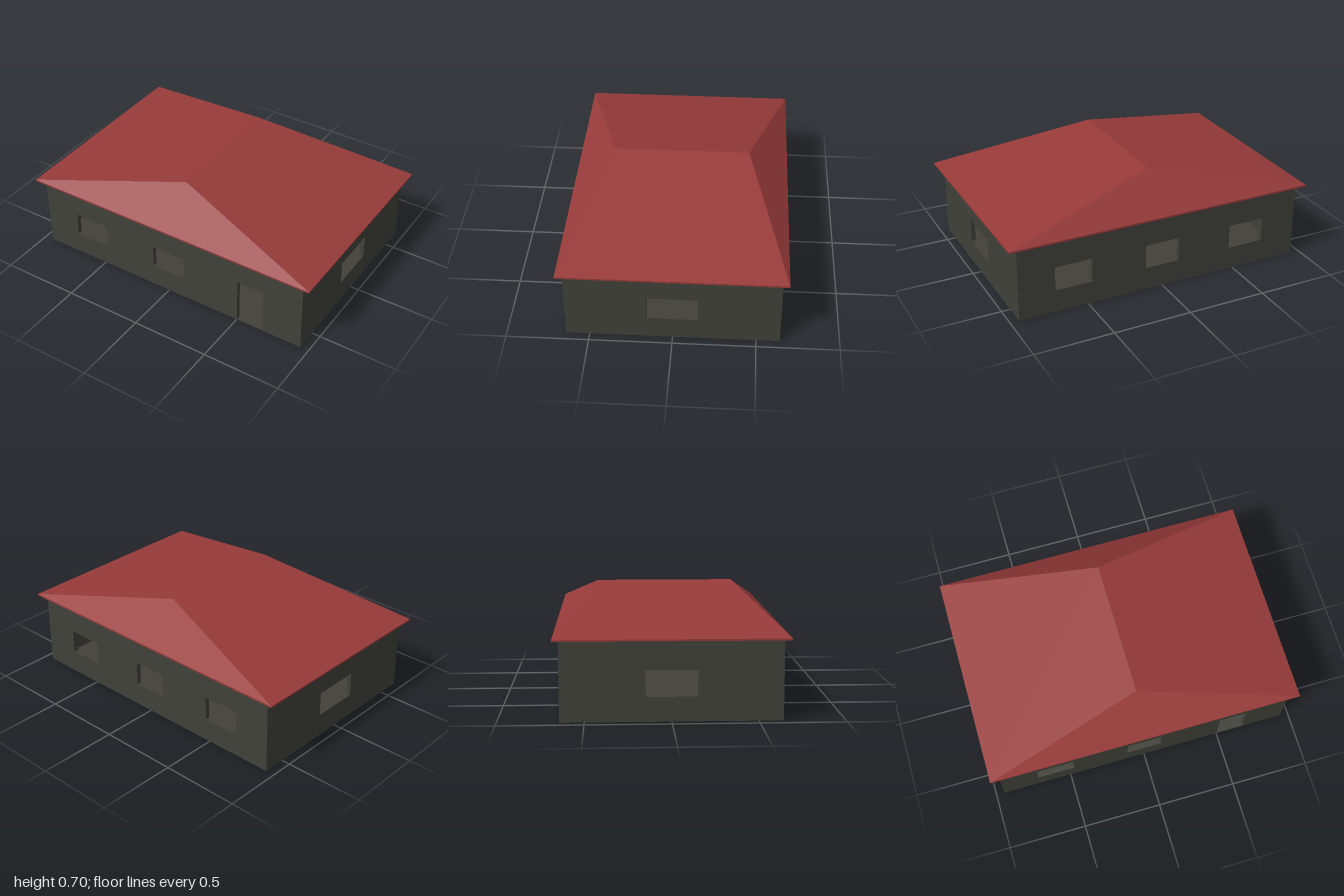
import * as THREE from 'three';
import { ConvexGeometry } from 'three/addons/geometries/ConvexGeometry.js';

const HALF_X = 0.945, HALF_Z = 0.643, EAVE_Y = 0.475, T = 0.028, FLOOR = 0.008;
const SILL = 0.145, HEAD = 0.3;

// Wall panel centred on x, outer face at z = 0, with openings [x0, x1, y0, y1]
function wallGeometry(half, openings) {
  const shape = new THREE.Shape([
    new THREE.Vector2(-half, 0), new THREE.Vector2(half, 0),
    new THREE.Vector2(half, EAVE_Y), new THREE.Vector2(-half, EAVE_Y),
  ]);
  for (const [x0, x1, y0, y1] of openings) {
    shape.holes.push(new THREE.Path([
      new THREE.Vector2(x0, y0), new THREE.Vector2(x0, y1),
      new THREE.Vector2(x1, y1), new THREE.Vector2(x1, y0),
    ]));
  }
  return new THREE.ExtrudeGeometry(shape, { depth: T, bevelEnabled: false }).translate(0, 0, -T);
}

export function createModel() {
  const model = new THREE.Group();
  model.name = 'house';
  const wallGrey = new THREE.MeshStandardMaterial({ color: 0x41413a });
  wallGrey.name = 'wallGrey';
  const roofRed = new THREE.MeshStandardMaterial({ color: 0x973b3a });
  roofRed.name = 'roofRed';

  const add = (name, geometry, material) => {
    const mesh = new THREE.Mesh(geometry, material);
    mesh.name = name;
    model.add(mesh);
    return mesh;
  };

  // Four walls, each turned to face outward
  const leftWindow = [-0.71, -0.47, SILL, HEAD];
  const middleWindow = [-0.113, 0.113, SILL, HEAD];
  const rightWindow = [0.47, 0.71, SILL, HEAD];
  const door = [0.503, 0.684, FLOOR, HEAD];
  const sideWindow = [-0.152, 0.152, SILL, HEAD];
  const walls = [
    ['frontWall', HALF_X, [leftWindow, middleWindow, door], HALF_Z, 0],
    ['backWall', HALF_X, [leftWindow, middleWindow, rightWindow], HALF_Z, Math.PI],
    ['leftWall', HALF_Z - T, [sideWindow], HALF_X, Math.PI / 2],
    ['rightWall', HALF_Z - T, [sideWindow], HALF_X, -Math.PI / 2],
  ];
  for (const [name, half, openings, distance, turn] of walls) {
    const wall = add(name, wallGeometry(half, openings), wallGrey);
    wall.rotation.y = turn;
    wall.position.set(Math.sin(turn) * distance, 0, Math.cos(turn) * distance);
  }

  // Floor slab between the walls
  add('floor', new THREE.BoxGeometry(2 * (HALF_X - T), FLOOR, 2 * (HALF_Z - T))
    .translate(0, FLOOR / 2, 0), wallGrey);

  // Hipped roof with a thin eave edge and a ridge running front to back
  const corners = [];
  for (const z of [-1, 1]) {
    for (const x of [-1, 1]) {
      for (const y of [EAVE_Y, 0.486]) corners.push(new THREE.Vector3(x, y, z * 0.678));
    }
    corners.push(new THREE.Vector3(0, 0.705, z * 0.426));
  }
  add('roof', new ConvexGeometry(corners), roofRed);

  return model;
}
